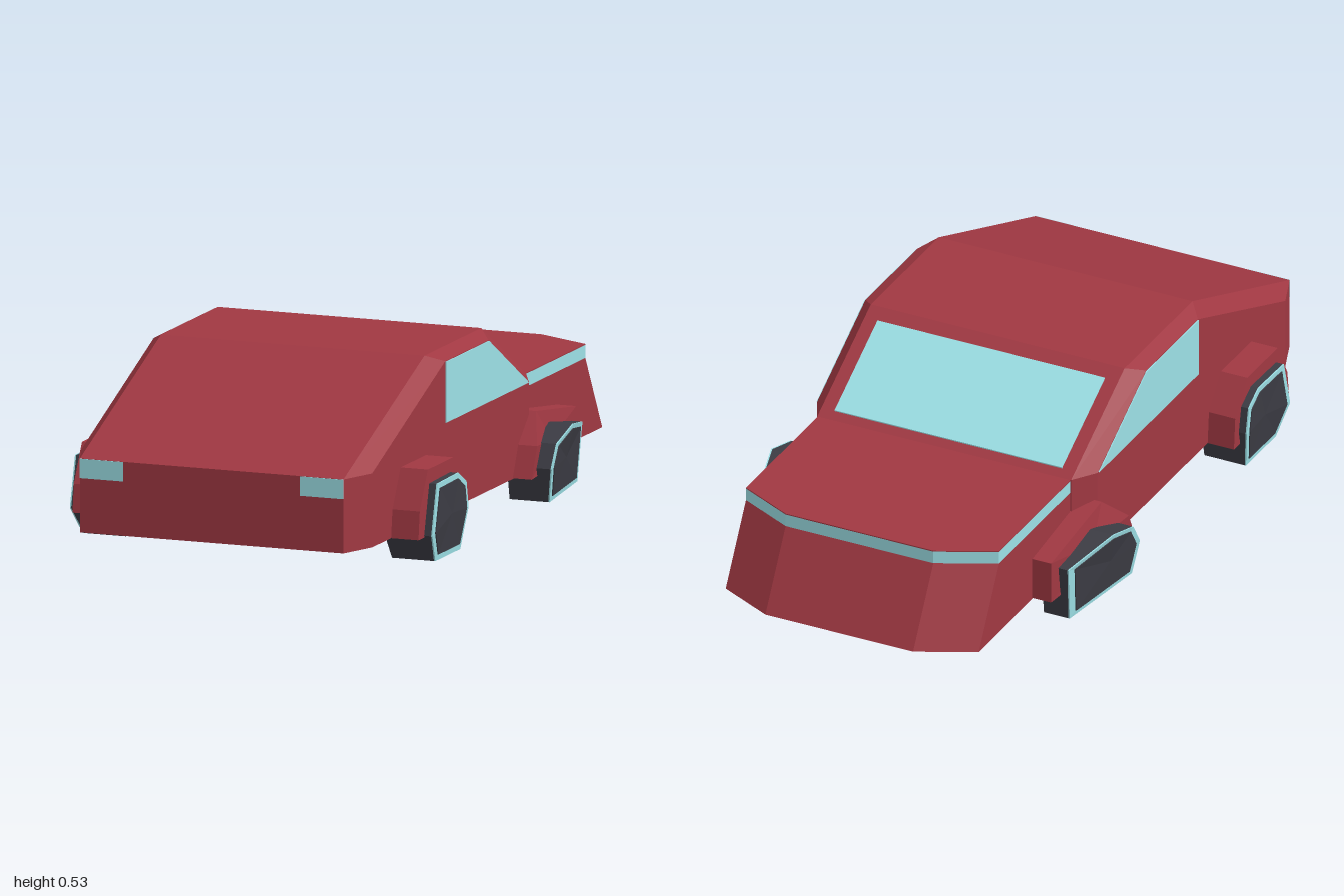
import * as THREE from 'three';

const paint = (color) => new THREE.MeshStandardMaterial({ color, flatShading: true, side: THREE.DoubleSide });

// Faceted solid through matching convex loops of [x, y, z], capped at both ends.
function loft(loops) {
  const pos = [];
  const tri = (a, b, c) => pos.push(...a, ...b, ...c);
  const n = loops[0].length;
  for (let k = 0; k + 1 < loops.length; k++) {
    for (let i = 0; i < n; i++) {
      const j = (i + 1) % n;
      const [a, b] = [loops[k], loops[k + 1]];
      tri(a[i], a[j], b[j]);
      tri(a[i], b[j], b[i]);
    }
  }
  const cap = (loop, flip) => {
    const c = [0, 1, 2].map((d) => loop.reduce((s, p) => s + p[d], 0) / n);
    loop.forEach((p, i) => {
      const q = loop[(i + 1) % n];
      if (flip) tri(c, q, p); else tri(c, p, q);
    });
  };
  cap(loops[0], true);
  cap(loops[loops.length - 1], false);

  // Turn the faces outward if the enclosed volume is negative
  let volume = 0;
  const [a, b, c] = [new THREE.Vector3(), new THREE.Vector3(), new THREE.Vector3()];
  for (let i = 0; i < pos.length; i += 9) {
    a.fromArray(pos, i); b.fromArray(pos, i + 3); c.fromArray(pos, i + 6);
    volume += a.dot(b.cross(c));
  }
  if (volume < 0) {
    for (let i = 0; i < pos.length; i += 9) {
      for (let d = 0; d < 3; d++) [pos[i + 3 + d], pos[i + 6 + d]] = [pos[i + 6 + d], pos[i + 3 + d]];
    }
  }
  const g = new THREE.BufferGeometry();
  g.setAttribute('position', new THREE.Float32BufferAttribute(pos, 3));
  g.computeVertexNormals();
  return g;
}

export function createModel() {
  const car = new THREE.Group();
  car.name = 'car';
  const red = paint(0xa03842);
  const glass = paint(0x9ce0e6);
  const rubber = paint(0x3c3c44);
  const add = (name, geometry, material) => {
    const mesh = new THREE.Mesh(geometry, material);
    mesh.name = name;
    car.add(mesh);
    return mesh;
  };

  // Side profiles are [z, y] pairs, placed at a given x
  const at = (x, profile) => profile.map(([z, y]) => [x, y, z]);

  // Cabin: full profile across the middle, smaller one on the flanks
  const middle = [[1, 0.085], [1, 0.295], [0.4, 0.535], [-0.02, 0.535], [-0.35, 0.345], [-0.35, 0.085]];
  const flank = [[0.89, 0.085], [0.89, 0.295], [0.35, 0.513], [0.03, 0.513], [-0.27, 0.338], [-0.27, 0.085]];
  add('cabin', loft([at(-0.438, flank), at(-0.396, middle), at(0.396, middle), at(0.438, flank)]), red);

  // Nose: raked below, with an upright light band and a flat bonnet
  const noseLoop = (y, corner, tip) => [
    [-0.394, y, -0.3], [-0.394, y, corner], [-0.23, y, tip],
    [0.23, y, tip], [0.394, y, corner], [0.394, y, -0.3],
  ];
  add('nose', loft([noseLoop(0.085, -0.92, -1), noseLoop(0.305, -0.795, -0.875)]), red);
  add('lightBand', loft([noseLoop(0.305, -0.795, -0.875), noseLoop(0.342, -0.795, -0.875)]), glass);
  add('bonnet', loft([noseLoop(0.342, -0.795, -0.875), noseLoop(0.345, -0.795, -0.875)]), red);

  // Windscreen: a thin pane lying on the slope
  const slope = (z, lift) => 0.535 + (z + 0.02) * (0.19 / 0.33) + lift;
  const pane = (lift) => [
    [-0.355, slope(-0.06, lift), -0.06], [0.355, slope(-0.06, lift), -0.06],
    [0.355, slope(-0.325, lift), -0.325], [-0.355, slope(-0.325, lift), -0.325],
  ];
  add('windscreen', loft([pane(-0.01), pane(0.003)]), glass);

  const windowShape = [[0.35, 0.338], [0.35, 0.511], [0.03, 0.511], [-0.265, 0.338]];

  // Wheels and arches as [z, y, outer x]
  const rearTyre = [
    [0.67, 0.232, 0.545], [0.515, 0.235, 0.545], [0.455, 0.2, 0.545], [0.44, 0.125, 0.545],
    [0.465, 0.008, 0.53], [0.65, 0.008, 0.53], [0.708, 0.09, 0.545],
  ];
  const frontTyre = [
    [-0.2, 0.11, 0.535], [-0.24, 0.175, 0.535], [-0.36, 0.21, 0.535],
    [-0.545, 0.178, 0.487], [-0.525, 0.012, 0.48], [-0.22, 0.012, 0.52],
  ];
  const rearArch = [
    [0.75, 0.085, 0.52], [0.74, 0.165, 0.52], [0.68, 0.273, 0.52],
    [0.493, 0.273, 0.52], [0.418, 0.18, 0.52], [0.41, 0.085, 0.52],
  ];
  const frontArch = [
    [-0.15, 0.087, 0.495], [-0.19, 0.175, 0.495], [-0.28, 0.255, 0.455],
    [-0.585, 0.212, 0.452], [-0.585, 0.087, 0.452],
  ];

  for (const s of [1, -1]) {
    const side = s > 0 ? 'left' : 'right';
    add(side + 'Window', loft([at(s * 0.43, windowShape), at(s * 0.441, windowShape)]), glass);

    const light = new THREE.BoxGeometry(0.13, 0.055, 0.01);
    add(side + 'RearLight', light, glass).position.set(s * 0.331, 0.267, 0.997);

    const inner = (outline, x) => outline.map(([z, y]) => [s * x, y, z]);
    const outer = (outline, out = 0) => outline.map(([z, y, x]) => [s * (x + out), y, z]);
    // Outline drawn in towards its own centre
    const shrink = (outline, k) => {
      const mean = [0, 1, 2].map((d) => outline.reduce((t, p) => t + p[d], 0) / outline.length);
      return outline.map((p) => p.map((v, d) => mean[d] + (v - mean[d]) * k));
    };

    for (const [end, tyre, arch] of [['Rear', rearTyre, rearArch], ['Front', frontTyre, frontArch]]) {
      add(side + end + 'Arch', loft([inner(arch, 0.39), outer(arch)]), red);
      add(side + end + 'Tyre', loft([inner(tyre, 0.4), outer(tyre, -0.004)]), rubber);
      add(side + end + 'Rim', loft([outer(tyre, -0.004), outer(tyre)]), glass);
      const hub = shrink(tyre, 0.86);
      add(side + end + 'Hub', loft([outer(hub, -0.01), outer(hub, 0.003)]), rubber);
    }
  }
  return car;
}
